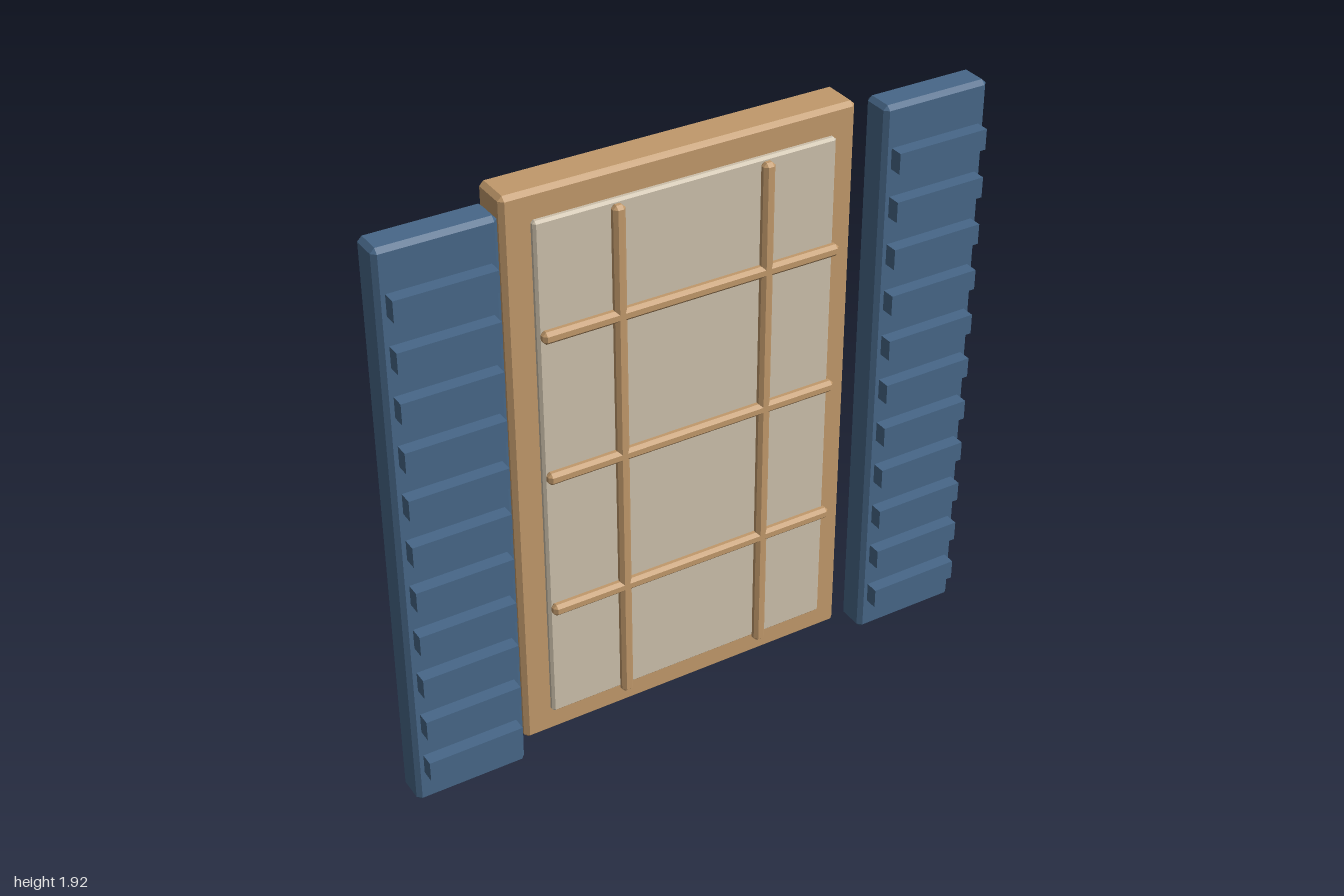
import * as THREE from 'three';
import { ConvexGeometry } from 'three/addons/geometries/ConvexGeometry.js';

const material = (name, color) => {
  const m = new THREE.MeshStandardMaterial({ color });
  m.name = name;
  return m;
};

// Box with every edge chamfered by c: three corner points at each of the eight corners
function chamferedBox(w, h, d, c) {
  const points = [];
  for (const sx of [-1, 1]) for (const sy of [-1, 1]) for (const sz of [-1, 1]) {
    for (let axis = 0; axis < 3; axis++) {
      const inset = [c, c, c];
      inset[axis] = 0;
      points.push(new THREE.Vector3(
        sx * (w / 2 - inset[0]), sy * (h / 2 - inset[1]), sz * (d / 2 - inset[2])));
    }
  }
  return new ConvexGeometry(points);
}

export function createModel() {
  const wood = material('wood', 0xc1996b);
  const blue = material('shutterBlue', 0x476788);
  const glass = material('paleGlass', 0xccc0ab);
  const group = new THREE.Group();

  const add = (name, geometry, mat, x, y, z, parent = group) => {
    const mesh = new THREE.Mesh(geometry, mat);
    mesh.name = name;
    mesh.position.set(x, y, z);
    parent.add(mesh);
    return mesh;
  };

  // Solid frame board and the pane in front of it
  add('frame', chamferedBox(1.17, 1.92, 0.135, 0.014), wood, 0, 0.96, -0.065);
  add('pane', chamferedBox(1.0, 1.74, 0.026, 0.008), glass, 0, 0.967, 0.018);

  // Glazing bars
  const uprightBar = chamferedBox(0.04, 1.735, 0.034, 0.011);
  const crossBar = chamferedBox(1.0, 0.04, 0.034, 0.011);
  for (const x of [-0.247, 0.247]) add('uprightBar', uprightBar, wood, x, 0.967, 0.053);
  for (const y of [0.517, 1.0, 1.48]) add('crossBar', crossBar, wood, 0, y, 0.053);

  // Shutters with eleven slats each
  const board = chamferedBox(0.37, 1.92, 0.106, 0.014);
  const slat = new THREE.BoxGeometry(0.315, 0.068, 0.06);
  for (const side of [-1, 1]) {
    const shutter = new THREE.Group();
    shutter.name = side > 0 ? 'leftShutter' : 'rightShutter';
    shutter.position.x = side * 0.815;
    add('shutterBoard', board, blue, 0, 0.96, 0.033, shutter);
    for (let i = 0; i < 11; i++) add('slat', slat, blue, 0, 0.145 + i * 0.1605, 0.1, shutter);
    group.add(shutter);
  }
  return group;
}
